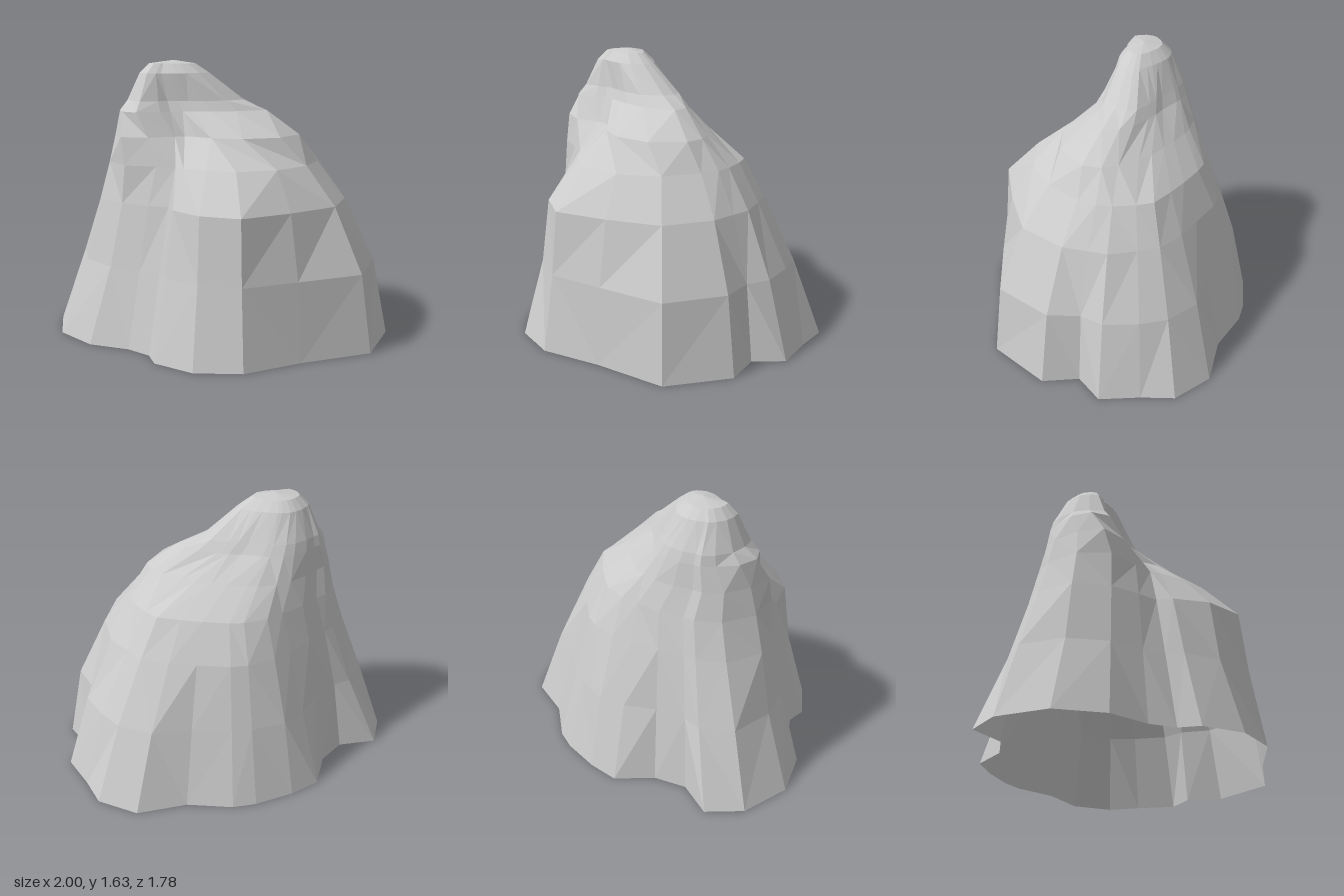
import * as THREE from 'three';

// Outline on the ground as (x, z), running from +x towards +z
const footprint = [
  [1, -0.13], [0.98, 0.27], [0.65, 0.55], [0.4, 0.81], [0.14, 0.89], [-0.11, 0.83],
  [-0.19, 0.73], [-0.34, 0.68], [-0.59, 0.68], [-0.85, 0.55], [-1, 0.28], [-0.98, 0.05],
  [-0.76, -0.03], [-0.66, -0.2], [-0.64, -0.44], [-0.5, -0.57], [-0.3, -0.7], [-0.17, -0.75],
  [0.1, -0.77], [0.37, -0.89], [0.62, -0.82], [0.74, -0.66], [0.9, -0.48], [0.85, -0.29],
];
const angles = footprint.map(([x, z]) => Math.atan2(z, x));

// Each contour: height, centre (x, z) and one radius per footprint corner
const contours = [
  { y: 0, x: 0, z: 0, r: footprint.map(([x, z]) => Math.hypot(x, z)) },
  { y: 0.45, x: 0, z: 0, r: [0.92, 0.95, 0.81, 0.83, 0.77, 0.71, 0.65, 0.67, 0.76, 0.84, 0.88, 0.79,
    0.7, 0.62, 0.64, 0.66, 0.65, 0.65, 0.66, 0.79, 0.85, 0.86, 0.88, 0.84] },
  { y: 0.82, x: 0, z: 0, r: [0.74, 0.77, 0.73, 0.79, 0.72, 0.62, 0.56, 0.6, 0.68, 0.76, 0.74, 0.67,
    0.62, 0.56, 0.53, 0.54, 0.55, 0.55, 0.55, 0.6, 0.66, 0.67, 0.71, 0.71] },
  { y: 1.04, x: 0, z: 0, r: [0.57, 0.58, 0.59, 0.58, 0.53, 0.5, 0.49, 0.54, 0.66, 0.7, 0.67, 0.61,
    0.56, 0.51, 0.46, 0.46, 0.45, 0.44, 0.44, 0.47, 0.53, 0.54, 0.56, 0.57] },
  { y: 1.2, x: -0.1, z: 0.05, r: [0.57, 0.53, 0.43, 0.33, 0.27, 0.26, 0.31, 0.45, 0.56, 0.55, 0.53, 0.49,
    0.45, 0.41, 0.38, 0.36, 0.34, 0.33, 0.33, 0.35, 0.39, 0.43, 0.5, 0.55] },
  { y: 1.34, x: -0.2, z: 0.05, r: [0.47, 0.34, 0.25, 0.21, 0.21, 0.24, 0.3, 0.42, 0.45, 0.43, 0.38, 0.36,
    0.33, 0.3, 0.27, 0.25, 0.22, 0.21, 0.2, 0.21, 0.25, 0.29, 0.38, 0.44] },
];
// Above the right shoulder only the peak remains, narrowing to the summit
const peak = contours[5].r.map((r) => Math.min(r, 0.4));
contours.push({ y: 1.4, x: -0.23, z: 0.06, r: peak.map((r) => r * 0.88) });
contours.push({ y: 1.56, x: -0.28, z: 0.11, r: peak.map((r) => 0.07 + r * 0.35) });
contours.push({ y: 1.615, x: -0.29, z: 0.12, r: peak.map((r) => 0.04 + r * 0.25) });
contours.push({ y: 1.635, x: -0.28, z: 0.12, r: peak.map(() => 0) });

function buildRock() {
  const columns = angles.length;
  const positions = contours.flatMap(({ y, x, z, r }) =>
    angles.flatMap((a, i) => [x + Math.cos(a) * r[i], y, z + Math.sin(a) * r[i]]));

  // Facets with varied diagonals; the base stays open
  const index = [];
  for (let j = 0; j < contours.length - 1; j++) {
    for (let i = 0; i < columns; i++) {
      const next = (i + 1) % columns;
      const a = j * columns + i, b = j * columns + next;
      const d = a + columns, c = b + columns;
      if (j === contours.length - 2) index.push(a, d, b);
      else if ((i * 5 + j * 3) % 4 < 2) index.push(a, d, b, b, d, c);
      else index.push(a, d, c, a, c, b);
    }
  }
  const geometry = new THREE.BufferGeometry();
  geometry.setAttribute('position', new THREE.Float32BufferAttribute(positions, 3));
  geometry.setIndex(index);
  geometry.computeVertexNormals();
  return geometry;
}

export function createModel() {
  const group = new THREE.Group();
  group.name = 'boulder';
  const rock = new THREE.Mesh(buildRock(), new THREE.MeshStandardMaterial({
    color: 0xcccccc, flatShading: true, side: THREE.DoubleSide,
  }));
  rock.name = 'rock';
  group.add(rock);
  return group;
}
